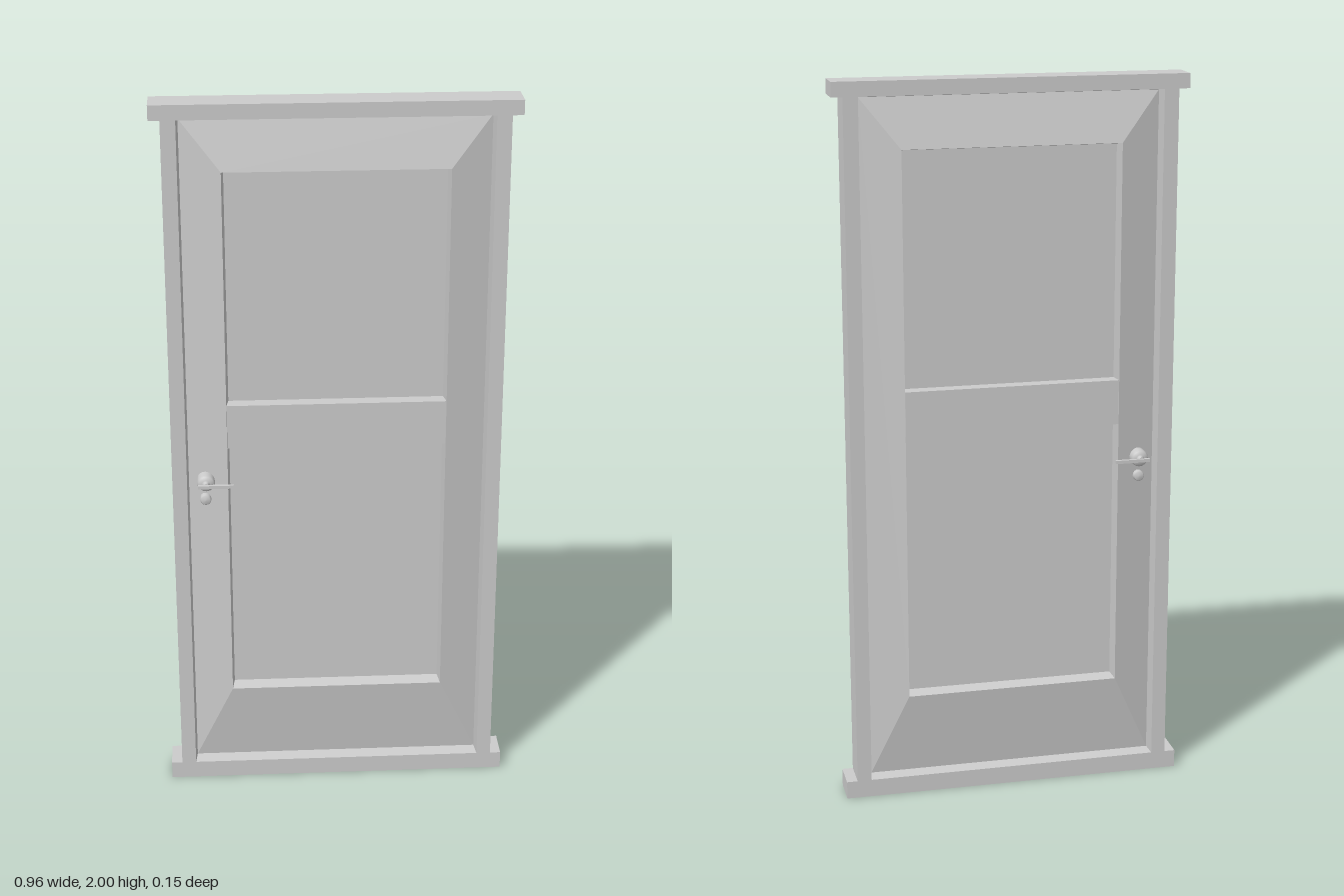
import * as THREE from 'three';

const mat = new THREE.MeshStandardMaterial({ color: 0xcccccc, flatShading: true });
const smooth = new THREE.MeshStandardMaterial({ color: 0xcccccc });

function add(parent, name, geometry, x = 0, y = 0, z = 0, material = mat) {
  const mesh = new THREE.Mesh(geometry, material);
  mesh.name = name;
  mesh.position.set(x, y, z);
  parent.add(mesh);
  return mesh;
}

// Joins nested rectangles [halfWidth, bottom, top, z], outermost first, and closes the last one
function nestedRectangles(rings) {
  const corners = rings.map(([w, b, t, z]) => [[-w, b, z], [w, b, z], [w, t, z], [-w, t, z]]);
  const pos = [];
  const quad = (a, b, c, d) => pos.push(...a, ...b, ...c, ...a, ...c, ...d);
  for (let i = 0; i < corners.length - 1; i++) {
    for (let k = 0; k < 4; k++) {
      const n = (k + 1) % 4;
      quad(corners[i][k], corners[i][n], corners[i + 1][n], corners[i + 1][k]);
    }
  }
  quad(...corners[corners.length - 1]);
  const g = new THREE.BufferGeometry();
  g.setAttribute('position', new THREE.Float32BufferAttribute(pos, 3));
  g.computeVertexNormals();
  return g;
}

// Turned fitting whose axis points along +z; profile points are [radius, z]
function turned(profile) {
  const g = new THREE.LatheGeometry(profile.map(([r, z]) => new THREE.Vector2(r, z)), 24);
  return g.rotateX(Math.PI / 2);
}

export function createModel() {
  const model = new THREE.Group();
  model.name = 'door';

  // Outer frame
  const frame = new THREE.Group();
  frame.name = 'frame';
  model.add(frame);
  add(frame, 'sill', new THREE.BoxGeometry(0.96, 0.05, 0.09), 0, 0.025, 0);
  add(frame, 'lintel', new THREE.BoxGeometry(0.96, 0.04, 0.09), 0, 1.98, 0);
  for (const s of [-1, 1]) {
    add(frame, s > 0 ? 'leftJamb' : 'rightJamb', new THREE.BoxGeometry(0.04, 1.91, 0.09), s * 0.43, 1.005, 0);
  }

  // Door leaf: sloping stiles and rails around a sunken panel, alike on both sides
  const leaf = nestedRectangles([
    [0.41, 0.05, 1.96, 0.045],
    [0.405, 0.055, 1.955, 0.008],
    [0.298, 0.29, 1.82, 0.04],
    [0.292, 0.297, 1.814, 0.003],
  ]);
  add(model, 'leafFront', leaf);
  add(model, 'leafBack', leaf).rotation.y = Math.PI;
  add(model, 'middleRail', new THREE.BoxGeometry(0.594, 0.125, 0.08), 0, 1.1075, 0);

  // Lever handle and keyhole cover on each side
  const rose = turned([[0.024, 0.015], [0.024, 0.046], [0.021, 0.052], [0.012, 0.055], [0.008, 0.056], [0.007, 0.066]]);
  const cover = turned([[0.015, 0.015], [0.015, 0.036], [0.012, 0.04], [0, 0.041]]);
  const lever = new THREE.BoxGeometry(0.097, 0.009, 0.009);
  for (const side of ['front', 'back']) {
    const turn = side === 'front' ? 0 : Math.PI;
    const handle = new THREE.Group();
    handle.name = side + 'Handle';
    handle.position.set(-0.358, 0.945, 0);
    handle.rotation.x = turn;
    add(handle, 'rose', rose, 0, 0, 0, smooth);
    add(handle, 'lever', lever, 0.026, 0, 0.07);
    model.add(handle);
    add(model, side + 'KeyholeCover', cover, -0.36, 0.89, 0, smooth).rotation.x = turn;
  }
  return model;
}
